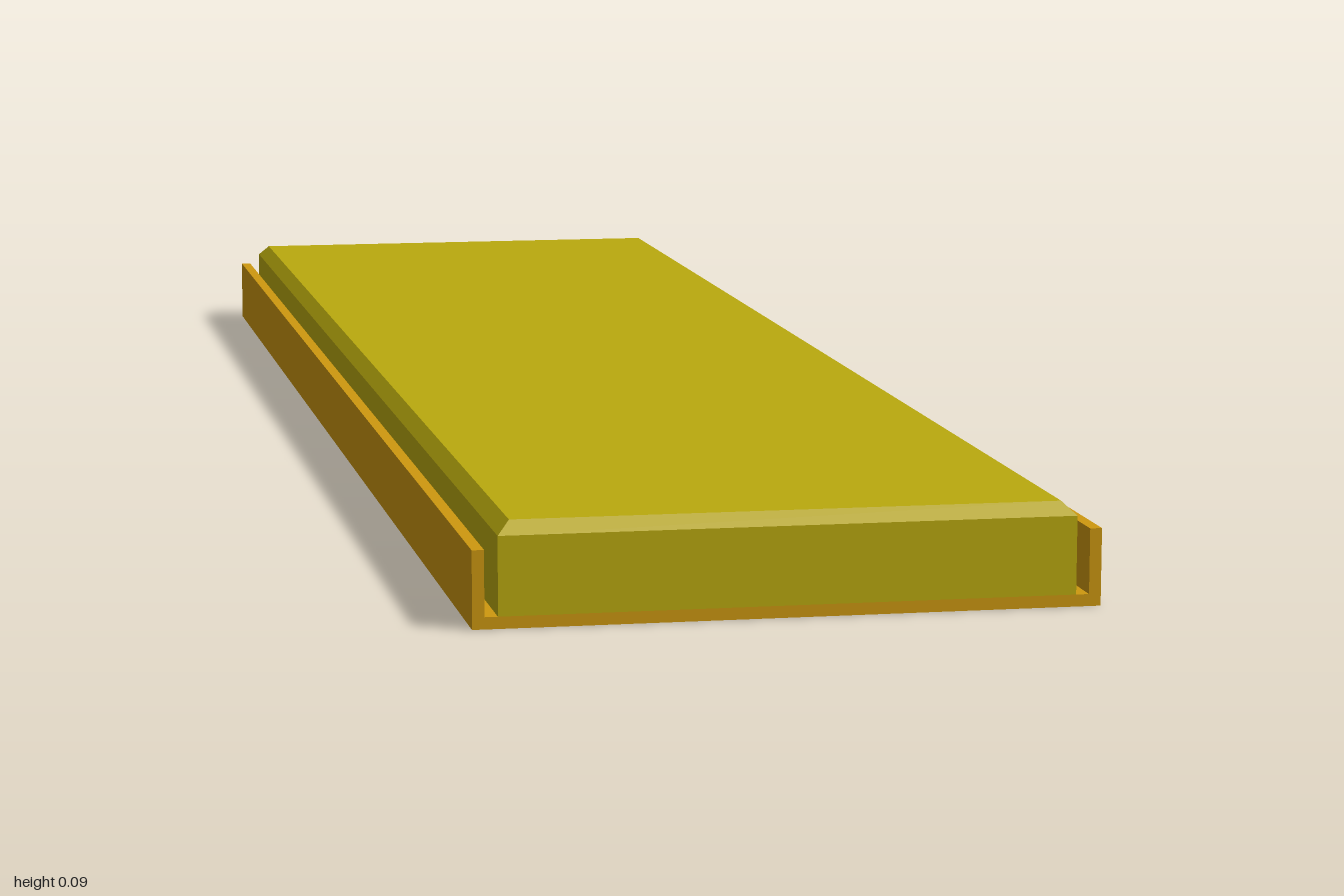
import * as THREE from 'three';

// Flat-shaded surface from a list of four-corner faces
function quadSurface(quads) {
  const pos = [];
  for (const [a, b, c, d] of quads) pos.push(...a, ...b, ...c, ...a, ...c, ...d);
  const geo = new THREE.BufferGeometry();
  geo.setAttribute('position', new THREE.Float32BufferAttribute(pos, 3));
  geo.computeVertexNormals();
  return geo;
}

export function createModel() {
  const model = new THREE.Group();
  const olive = new THREE.MeshStandardMaterial({ name: 'olive', color: 0xbaaa0e, side: THREE.DoubleSide });
  const orange = new THREE.MeshStandardMaterial({ name: 'orange', color: 0xce980f, side: THREE.DoubleSide });
  const add = (name, geo, mat, parent = model) => {
    const mesh = new THREE.Mesh(geo, mat);
    mesh.name = name;
    parent.add(mesh);
    return mesh;
  };

  const halfLength = 1, lidX = 0.263, floorY = 0.011;

  // Lid: open-bottomed shell with a chamfered rim
  const ring = (y, inset) => {
    const x = lidX - inset, z = halfLength - inset;
    return [[-x, y, z], [x, y, z], [x, y, -z], [-x, y, -z]];
  };
  const rings = [ring(floorY, 0), ring(0.083, 0), ring(0.095, 0.012)];
  const lidFaces = [rings[2]];
  for (let r = 0; r < 2; r++) {
    for (let i = 0; i < 4; i++) {
      const j = (i + 1) % 4;
      lidFaces.push([rings[r][i], rings[r][j], rings[r + 1][j], rings[r + 1][i]]);
    }
  }
  add('lid', quadSurface(lidFaces), olive);

  // Side rails: hollow profile with no underside, swept along the length
  const tray = new THREE.Group();
  tray.name = 'tray';
  model.add(tray);
  const profile = [[0.286, 0], [0.286, 0.071], [0.275, 0.071], [0.275, floorY], [lidX, floorY]];
  for (const side of [1, -1]) {
    const faces = [];
    for (let i = 0; i < profile.length - 1; i++) {
      const [ax, ay] = profile[i], [bx, by] = profile[i + 1];
      const face = [
        [side * ax, ay, halfLength], [side * ax, ay, -halfLength],
        [side * bx, by, -halfLength], [side * bx, by, halfLength],
      ];
      faces.push(side > 0 ? face : face.reverse());
    }
    add(side > 0 ? 'leftRail' : 'rightRail', quadSurface(faces), orange, tray);
  }

  // U-shaped end faces joining the rails
  const half = profile.slice(0, 4);
  const outline = [...half, ...half.map(([x, y]) => [-x, y]).reverse()];
  const endGeo = new THREE.ShapeGeometry(new THREE.Shape(outline.map(([x, y]) => new THREE.Vector2(x, y))));
  add('frontEnd', endGeo, orange, tray).position.z = halfLength;
  const back = add('backEnd', endGeo, orange, tray);
  back.position.z = -halfLength;
  back.rotation.y = Math.PI;

  return model;
}
